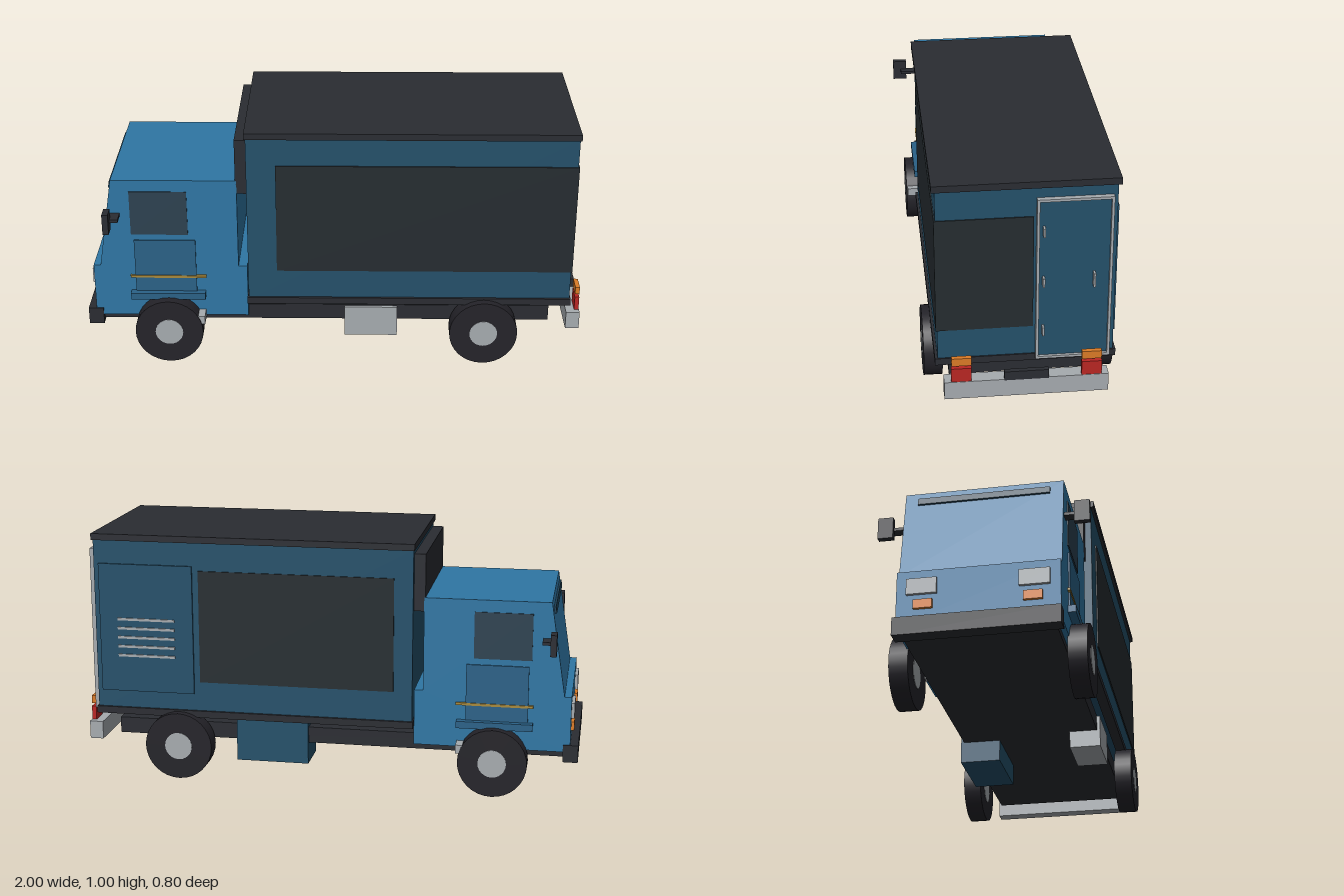
import * as THREE from 'three';

const mat = (color) => new THREE.MeshStandardMaterial({ color });
const M = {
  cab: mat(0x2f76a4), trim: mat(0x2a6187), body: mat(0x24506a), dark: mat(0x2a2c32),
  panel: mat(0x252c30), glass: mat(0x2c4150), grey: mat(0xa6abaf), orange: mat(0xdb7b27),
  red: mat(0xb92623), gold: mat(0xa8893c), tyre: mat(0x242329), line: mat(0x1d4055),
};

export function createModel() {
  const truck = new THREE.Group();
  truck.name = 'boxTruck';

  // Box given by its extents along each axis
  const box = (name, material, [x0, x1], [y0, y1], [z0, z1]) => {
    const mesh = new THREE.Mesh(new THREE.BoxGeometry(x1 - x0, y1 - y0, z1 - z0), material);
    mesh.position.set((x0 + x1) / 2, (y0 + y1) / 2, (z0 + z1) / 2);
    mesh.name = name;
    truck.add(mesh);
    return mesh;
  };
  // Same box on both sides of the truck
  const pair = (name, material, xs, ys, [z0, z1]) => {
    box(name + 'Left', material, xs, ys, [z0, z1]);
    box(name + 'Right', material, xs, ys, [-z1, -z0]);
  };

  // Chassis and bumpers
  box('chassis', M.dark, [-0.95, 0.87], [0.155, 0.22], [-0.28, 0.28]);
  box('frontBumper', M.dark, [-1, -0.94], [0.14, 0.21], [-0.305, 0.305]);
  box('rearBumper', M.grey, [0.94, 0.995], [0.13, 0.203], [-0.305, 0.305]);

  // Cab: side profile with raked windscreen, extruded across the width
  const profile = [[-0.968, 0.18], [-0.35, 0.18], [-0.35, 0.405], [-0.385, 0.405], [-0.385, 0.78],
    [-0.88, 0.78], [-0.94, 0.405], [-0.968, 0.405]].map(([x, y]) => new THREE.Vector2(x, y));
  const cabGeometry = new THREE.ExtrudeGeometry(new THREE.Shape(profile), { depth: 0.6, bevelEnabled: false });
  const cab = new THREE.Mesh(cabGeometry.translate(0, 0, -0.3), M.cab);
  cab.name = 'cab';
  truck.add(cab);

  // Cab sides: window, door panel, trim strip, step
  pair('sideWindow', M.glass, [-0.81, -0.583], [0.545, 0.732], [0.297, 0.304]);
  pair('doorPanel', M.trim, [-0.8, -0.555], [0.29, 0.52], [0.297, 0.306]);
  pair('doorStrip', M.gold, [-0.82, -0.515], [0.354, 0.364], [0.297, 0.31]);
  pair('step', M.trim, [-0.82, -0.52], [0.265, 0.293], [0.297, 0.33]);
  pair('stepBracket', M.grey, [-0.55, -0.522], [0.17, 0.205], [0.27, 0.362]);

  // Mirrors
  pair('mirrorArm', M.dark, [-0.89, -0.85], [0.626, 0.638], [0.295, 0.365]);
  pair('mirror', M.dark, [-0.906, -0.882], [0.59, 0.675], [0.34, 0.398]);

  // Cab front: brow strip and lamps
  const brow = box('windscreenBrow', M.line, [-0.895, -0.883], [0.725, 0.752], [-0.25, 0.25]);
  brow.rotation.z = -Math.atan2(0.06, 0.375);
  pair('headlamp', M.grey, [-0.98, -0.965], [0.308, 0.37], [0.15, 0.262]);
  pair('frontIndicator', M.orange, [-0.98, -0.965], [0.25, 0.285], [0.165, 0.235]);

  // Cargo box with roof, base rails and front unit
  box('cargoBox', M.body, [-0.345, 0.945], [0.265, 0.972], [-0.325, 0.325]);
  box('cargoRoof', M.dark, [-0.35, 0.95], [0.97, 0.996], [-0.337, 0.337]);
  pair('baseRail', M.dark, [-0.35, 0.95], [0.252, 0.28], [0.295, 0.335]);
  box('baseRailFront', M.dark, [-0.35, -0.31], [0.252, 0.28], [-0.3, 0.3]);
  box('baseRailRear', M.dark, [0.91, 0.95], [0.252, 0.28], [-0.3, 0.3]);
  box('frontUnit', M.dark, [-0.39, -0.34], [0.725, 0.952], [-0.3, 0.3]);

  // Dark panels: left side wrapping onto the rear, and right side
  box('sidePanelLeft', M.panel, [-0.23, 0.949], [0.4, 0.857], [0.32, 0.33]);
  box('rearPanel', M.panel, [0.94, 0.949], [0.4, 0.857], [-0.026, 0.33]);
  box('sidePanelRight', M.panel, [-0.27, 0.515], [0.4, 0.857], [-0.33, -0.32]);

  // Service hatch with vent slats on the right side
  box('serviceHatch', M.body, [0.54, 0.925], [0.35, 0.875], [-0.333, -0.32]);
  for (let i = 0; i < 5; i++) {
    const y = 0.5 + i * 0.0375;
    box('ventSlat', M.grey, [0.615, 0.85], [y - 0.005, y + 0.005], [-0.338, -0.33]);
  }

  // Rear door with frame, hinges and handle
  box('rearDoor', M.body, [0.94, 0.954], [0.27, 0.925], [-0.305, -0.04]);
  for (const z of [-0.31, -0.045]) box('doorFrameSide', M.grey, [0.94, 0.965], [0.265, 0.931], [z, z + 0.01]);
  for (const y of [0.265, 0.921]) box('doorFrameEnd', M.grey, [0.94, 0.965], [y, y + 0.01], [-0.3, -0.045]);
  for (const y of [0.39, 0.597, 0.803]) box('hinge', M.grey, [0.95, 0.978], [y - 0.018, y + 0.018], [-0.065, -0.057]);
  box('doorHandle', M.grey, [0.953, 0.978], [0.57, 0.626], [-0.249, -0.241]);

  // Rear lamps and plate
  pair('tailLamp', M.red, [0.975, 0.993], [0.2, 0.26], [0.204, 0.279]);
  pair('rearIndicator', M.orange, [0.975, 0.993], [0.272, 0.304], [0.204, 0.277]);
  box('plateHolder', M.dark, [0.978, 0.997], [0.2, 0.237], [-0.082, 0.083]);

  // Boxes slung under the chassis
  box('fuelTank', M.grey, [0.04, 0.255], [0.086, 0.215], [0.168, 0.293]);
  box('toolBox', M.body, [0.08, 0.375], [0.068, 0.244], [-0.293, -0.13]);

  // Wheels: tyre and protruding hub
  const tyreGeometry = new THREE.CylinderGeometry(0.137, 0.137, 0.072, 32).rotateX(Math.PI / 2);
  const hubGeometry = new THREE.CylinderGeometry(0.056, 0.056, 0.076, 24).rotateX(Math.PI / 2);
  for (const x of [-0.668, 0.602]) {
    for (const side of [-1, 1]) {
      const wheel = new THREE.Group();
      wheel.name = (x < 0 ? 'front' : 'rear') + 'Wheel' + (side > 0 ? 'Left' : 'Right');
      const tyre = new THREE.Mesh(tyreGeometry, M.tyre);
      tyre.name = 'tyre';
      const hub = new THREE.Mesh(hubGeometry, M.grey);
      hub.name = 'hub';
      wheel.add(tyre, hub);
      wheel.position.set(x, 0.137, side * 0.33);
      truck.add(wheel);
    }
  }
  return truck;
}
